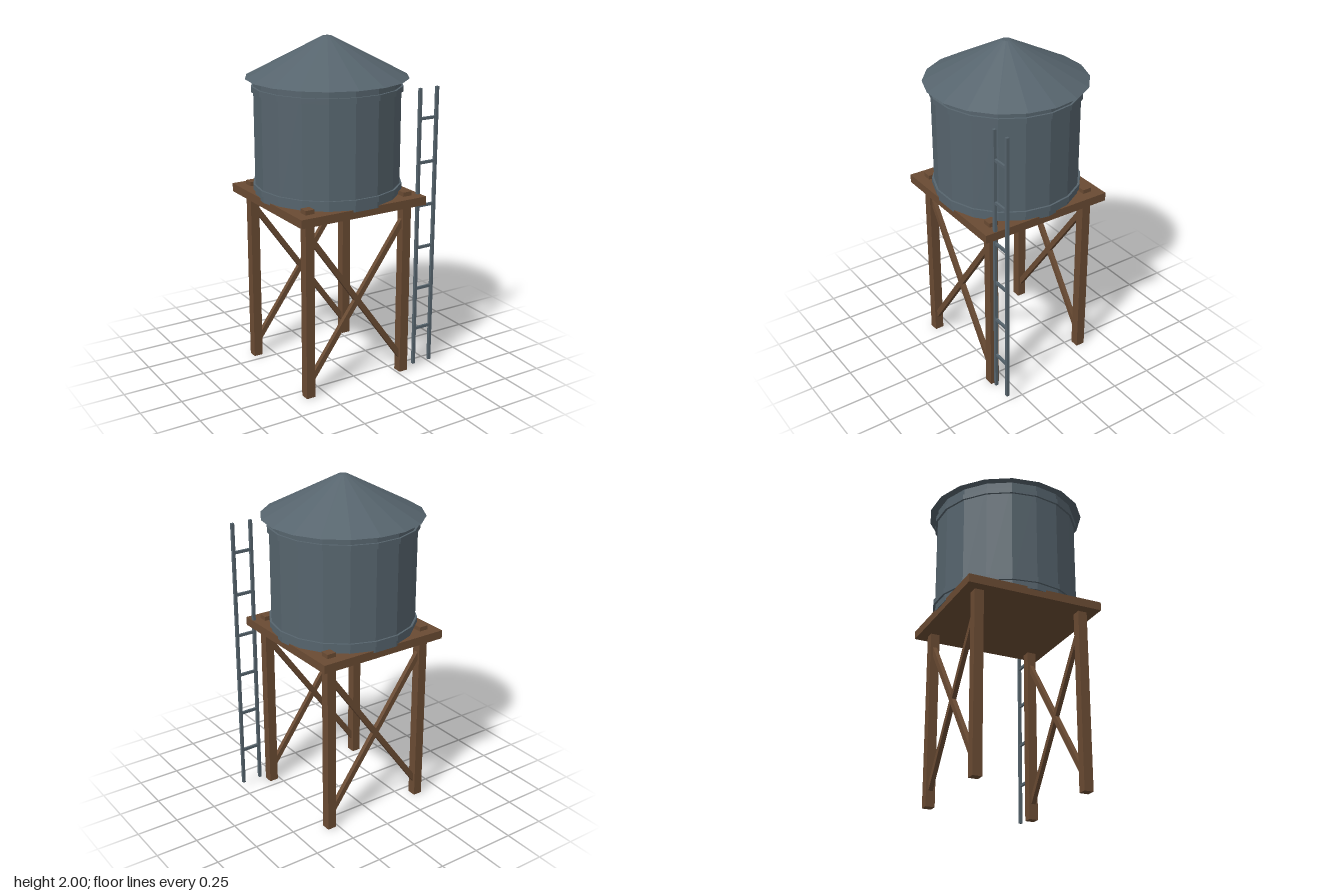
import * as THREE from 'three';

export function createModel() {
  const model = new THREE.Group();
  model.name = 'waterTower';

  const wood = new THREE.MeshStandardMaterial({ color: 0x6a4b33 });
  wood.name = 'brown wood';
  const steel = new THREE.MeshStandardMaterial({ color: 0x56646d });
  steel.name = 'blue grey steel';
  steel.flatShading = true;

  const tower = new THREE.Group();
  tower.name = 'tower';
  tower.position.x = -0.03;
  model.add(tower);

  function add(parent, name, geometry, material, x, y, z) {
    const mesh = new THREE.Mesh(geometry, material);
    mesh.name = name;
    mesh.position.set(x, y, z);
    parent.add(mesh);
    return mesh;
  }
  const box = (parent, name, material, w, h, d, x, y, z) =>
    add(parent, name, new THREE.BoxGeometry(w, h, d), material, x, y, z);

  // 18-sided drum with a corner pointing along x
  function drum(name, rTop, rBottom, y0, y1) {
    const geometry = new THREE.CylinderGeometry(rTop, rBottom, y1 - y0, 18);
    geometry.rotateY(Math.PI / 2);
    return add(tower, name, geometry, steel, 0, (y0 + y1) / 2, 0);
  }

  // Tank, hoops and roof
  drum('tank', 0.42, 0.42, 1.093, 1.775);
  drum('lowerHoop', 0.432, 0.432, 1.133, 1.165);
  drum('upperHoop', 0.432, 0.432, 1.698, 1.73);
  drum('roof', 0.026, 0.465, 1.772, 2.0);

  // Platform and legs, whose tops poke through the deck
  box(tower, 'platform', wood, 0.82, 0.05, 0.82, 0, 1.08, 0);
  const legOffset = 0.3225;
  for (const sx of [-1, 1]) {
    for (const sz of [-1, 1]) {
      box(tower, 'leg', wood, 0.055, 1.13, 0.055, sx * legOffset, 0.565, sz * legOffset);
    }
  }

  // Crossed braces on the front and back
  const rise = 0.45;
  const braceLength = 2 * Math.hypot(legOffset, rise);
  for (const sz of [-1, 1]) {
    for (const tilt of [-1, 1]) {
      const brace = box(tower, 'brace', wood, braceLength, 0.032, 0.026, 0, 0.53, sz * legOffset);
      brace.rotation.z = tilt * Math.atan2(rise, legOffset);
    }
  }

  // Ladder
  const ladder = new THREE.Group();
  ladder.name = 'ladder';
  ladder.position.set(0.426, 0, 0.345);
  model.add(ladder);
  for (const side of [-1, 1]) {
    box(ladder, 'ladderRail', steel, 0.017, 1.69, 0.018, side * 0.058, 0.875, 0);
  }
  for (let i = 0; i < 6; i++) {
    box(ladder, 'ladderRung', steel, 0.116, 0.016, 0.013, 0, 0.26 + i * 0.257, 0);
  }

  return model;
}
